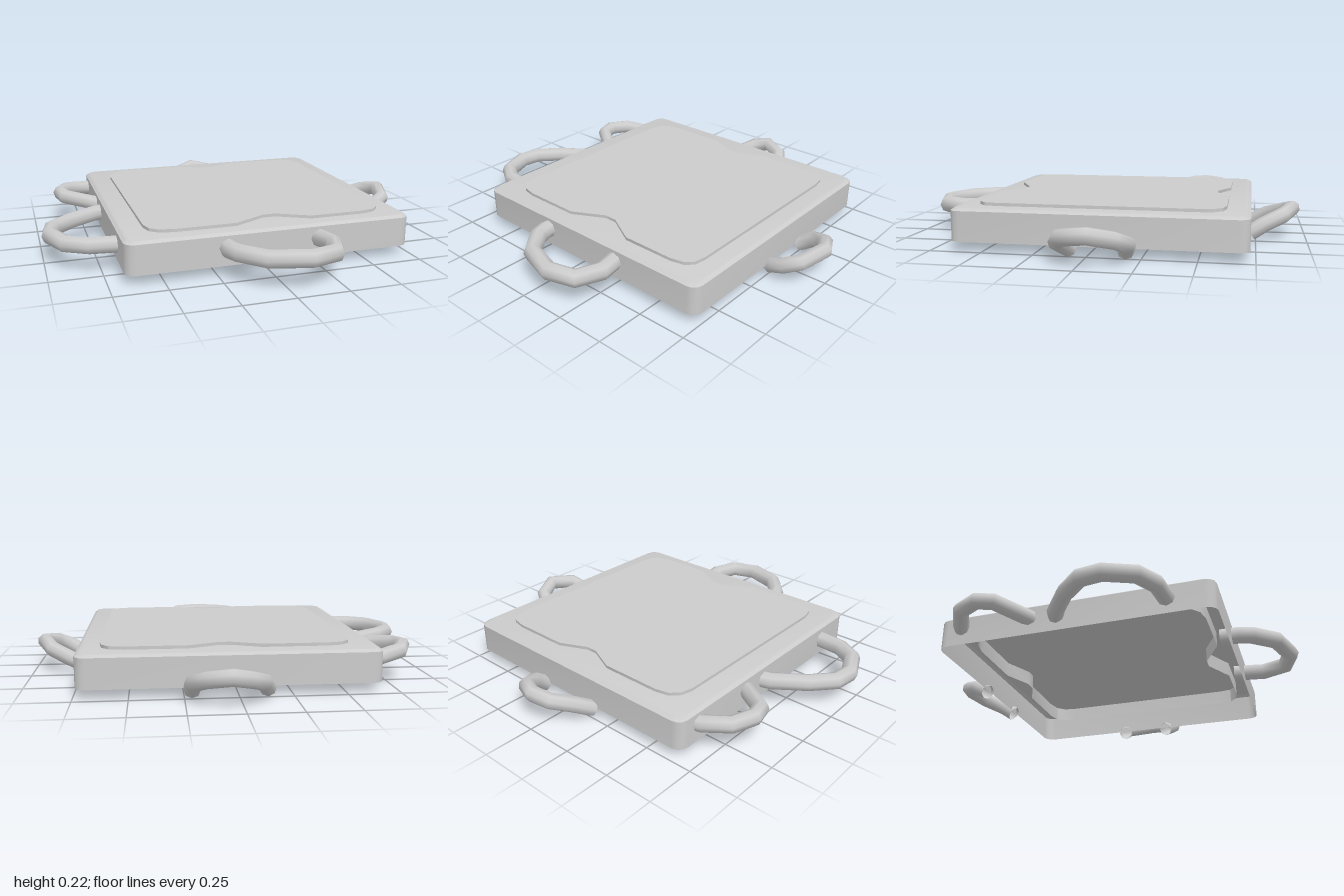
import * as THREE from 'three';
import { mergeGeometries, toCreasedNormals } from 'three/addons/utils/BufferGeometryUtils.js';

const material = new THREE.MeshStandardMaterial({ color: 0xcccccc, side: THREE.DoubleSide });

// Curve that passes exactly through its corner points, with averaged tangents
class CornerPath extends THREE.Curve {
  constructor(points) { super(); this.points = points; }
  getPoint(t, target = new THREE.Vector3()) {
    const n = this.points.length - 1;
    const i = Math.min(Math.floor(t * n + 1e-6), n - 1);
    return target.lerpVectors(this.points[i], this.points[i + 1], t * n - i);
  }
  getPointAt(t, target) { return this.getPoint(t, target); }
  getTangentAt(t, target = new THREE.Vector3()) {
    const n = this.points.length - 1, i = Math.round(t * n);
    const prev = this.points[Math.max(i - 1, 0)], here = this.points[i], next = this.points[Math.min(i + 1, n)];
    const before = here.clone().sub(prev).normalize();
    return target.subVectors(next, here).normalize().add(before).normalize();
  }
}

function addMesh(group, name, geometry) {
  const mesh = new THREE.Mesh(geometry, material);
  mesh.name = name;
  group.add(mesh);
}

// Open-bottomed shell: walls through [height, inset] rings plus a flat top.
// The outline is given as (x, -z), counter-clockwise.
function shell(outline, rings) {
  const box = new THREE.Box2().setFromPoints(outline);
  const centre = box.getCenter(new THREE.Vector2()), size = box.getSize(new THREE.Vector2());
  const inset = (d) => outline.map((p) => new THREE.Vector2(
    centre.x + (p.x - centre.x) * (1 - 2 * d / size.x),
    centre.y + (p.y - centre.y) * (1 - 2 * d / size.y)));
  const positions = [];
  for (let r = 0; r < rings.length - 1; r++) {
    const [y0, d0] = rings[r], [y1, d1] = rings[r + 1];
    const low = inset(d0), high = inset(d1);
    for (let i = 0; i < low.length; i++) {
      const j = (i + 1) % low.length;
      const a = [low[i].x, y0, -low[i].y], b = [low[j].x, y0, -low[j].y];
      const c = [high[j].x, y1, -high[j].y], d = [high[i].x, y1, -high[i].y];
      positions.push(...a, ...b, ...c, ...a, ...c, ...d);
    }
  }
  const walls = new THREE.BufferGeometry();
  walls.setAttribute('position', new THREE.Float32BufferAttribute(positions, 3));
  const [topY, topInset] = rings[rings.length - 1];
  const top = new THREE.ShapeGeometry(new THREE.Shape(inset(topInset)))
    .rotateX(-Math.PI / 2).translate(0, topY, 0).toNonIndexed();
  top.deleteAttribute('uv');
  top.deleteAttribute('normal');
  const merged = mergeGeometries([walls, top]);
  merged.computeVertexNormals();
  return toCreasedNormals(merged, 0.6);
}

// Rectangle with rounded corners, counter-clockwise in (x, -z)
function roundedRectangle(x0, x1, z0, z1, radius) {
  const corners = [[x1 - radius, -z0 - radius], [x0 + radius, -z0 - radius],
    [x0 + radius, -z1 + radius], [x1 - radius, -z1 + radius]];
  const points = [];
  corners.forEach(([cx, cy], quarter) => {
    for (let i = 0; i <= 3; i++) {
      const angle = (quarter + i / 3) * Math.PI / 2;
      points.push(new THREE.Vector2(cx + radius * Math.cos(angle), cy + radius * Math.sin(angle)));
    }
  });
  return points;
}

function addHandle(group, name, path, radius) {
  const curve = new CornerPath(path.map((p) => new THREE.Vector3(...p)));
  addMesh(group, name, new THREE.TubeGeometry(curve, path.length - 1, radius, 8, false));
}

export function createModel() {
  const group = new THREE.Group();

  // Hollow square tray with a bevelled upper edge
  addMesh(group, 'body', shell(roundedRectangle(-0.675, 0.74, -0.725, 0.66, 0.05),
    [[0.05, 0], [0.195, 0], [0.207, 0.016]]));

  // Raised panel with a notch at front and back, its skirt reaching below the top
  const panel = [
    [-0.43, 0.57], [-0.13, 0.57], [0.03, 0.485], [0.095, 0.485], [0.25, 0.57],
    [0.52, 0.57], [0.59, 0.555], [0.625, 0.52], [0.635, 0.46],
    [0.635, -0.5], [0.625, -0.56], [0.59, -0.6], [0.52, -0.615],
    [0.22, -0.615], [0.08, -0.552], [0.02, -0.552], [-0.12, -0.615],
    [-0.43, -0.615], [-0.5, -0.6], [-0.54, -0.56], [-0.555, -0.5],
    [-0.555, 0.46], [-0.54, 0.52], [-0.5, 0.555],
  ].map(([x, z]) => new THREE.Vector2(x, -z));
  addMesh(group, 'raisedPanel', shell(panel, [[0.13, 0], [0.222, 0]]));

  // Level handles whose ends pass through the walls
  addHandle(group, 'frontHandle', [
    [-0.2, 0.138, 0.6], [-0.2, 0.138, 0.69], [-0.175, 0.14, 0.755], [-0.08, 0.142, 0.865],
    [0.1, 0.145, 0.92], [0.23, 0.142, 0.88], [0.275, 0.14, 0.76], [0.255, 0.138, 0.66], [0.25, 0.138, 0.6],
  ], 0.044);
  addHandle(group, 'largeRightHandle', [
    [-0.61, 0.13, -0.12], [-0.71, 0.13, -0.09], [-0.855, 0.13, 0.015], [-0.945, 0.13, 0.115],
    [-0.96, 0.13, 0.22], [-0.9, 0.13, 0.36], [-0.8, 0.13, 0.42], [-0.675, 0.13, 0.433], [-0.61, 0.13, 0.43],
  ], 0.042);
  addHandle(group, 'smallRightHandle', [
    [-0.61, 0.135, -0.61], [-0.69, 0.142, -0.595], [-0.805, 0.158, -0.535], [-0.85, 0.165, -0.435],
    [-0.83, 0.16, -0.355], [-0.675, 0.14, -0.245], [-0.61, 0.132, -0.215],
  ], 0.04);

  // Tilted handles that rise outward from the lower edge
  addHandle(group, 'leftHandle', [
    [0.74, 0.04, -0.18], [0.815, 0.085, -0.2], [0.9, 0.12, -0.155], [0.952, 0.145, -0.05],
    [0.91, 0.125, 0.08], [0.835, 0.09, 0.112], [0.74, 0.04, 0.08],
  ], 0.04);
  addHandle(group, 'backHandle', [
    [-0.13, 0.04, -0.725], [-0.1, 0.09, -0.81], [-0.03, 0.125, -0.9], [0.05, 0.145, -0.932],
    [0.155, 0.125, -0.885], [0.215, 0.085, -0.79], [0.215, 0.04, -0.725],
  ], 0.04);

  return group;
}
